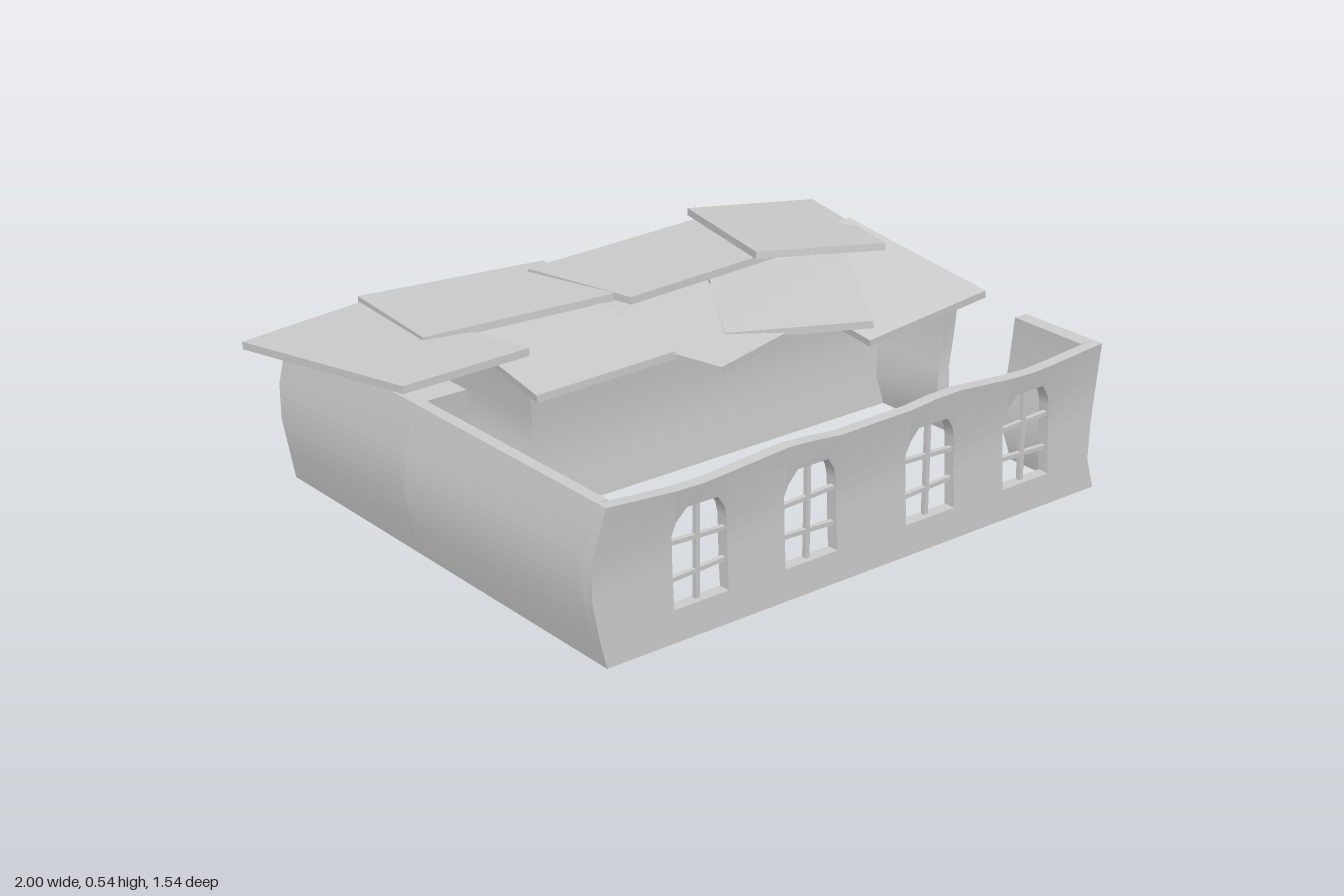
import * as THREE from 'three';
import { mergeGeometries, toCreasedNormals } from 'three/addons/utils/BufferGeometryUtils.js';

const material = new THREE.MeshStandardMaterial({ color: 0xcccccc, side: THREE.DoubleSide });

// Heights at which the warped walls change direction, and the shifts there
const LEVELS = [0, 0.09, 0.19, 0.29, 0.435];
const TOP = 0.435;
const WARP = {
  left: [0, -0.02, -0.035, -0.03, 0],
  right: [0, -0.022, -0.01, 0.005, 0],
  gap: [0, 0, 0.025, 0.02, 0],
  front: [0, -0.005, -0.012, -0.016, 0.003],
  sideEnd: [0, -0.015, -0.03, -0.03, -0.01],
  inner: [0, -0.01, -0.02, -0.015, 0],
  back: [0, 0.007, 0, -0.01, -0.003],
};

function shift(profile, y) {
  let i = 0;
  while (i < LEVELS.length - 2 && y > LEVELS[i + 1]) i++;
  return THREE.MathUtils.mapLinear(y, LEVELS[i], LEVELS[i + 1], profile[i], profile[i + 1]);
}

// Bends a wall piece to the crooked profile of the side it belongs to
function bend(geometry) {
  const p = geometry.attributes.position;
  for (let i = 0; i < p.count; i++) {
    const x = p.getX(i), y = p.getY(i), z = p.getZ(i);
    const px = x < -0.75 ? WARP.left : x > 0.75 ? WARP.right : z < 0 ? WARP.gap : null;
    const pz = z > 0.6 ? WARP.front : z > 0.1 ? WARP.sideEnd : z > -0.5 ? WARP.inner : WARP.back;
    const sag = z > 0.6 && y > 0.4 ? 0.01 * (1 - Math.cos((x + 0.87) * Math.PI * 2 / 0.58)) : 0;
    p.setXYZ(i, x + (px ? shift(px, y) : 0), y - sag, z + shift(pz, y));
  }
  return geometry;
}

// Full-height wall block with rows of vertices at LEVELS
function block(x0, x1, z0, z1) {
  const g = new THREE.BoxGeometry(x1 - x0, 4, z1 - z0, 1, 4, 1).toNonIndexed();
  g.translate((x0 + x1) / 2, 2, (z0 + z1) / 2);
  const p = g.attributes.position;
  for (let i = 0; i < p.count; i++) p.setY(i, LEVELS[Math.round(p.getY(i))]);
  return g;
}

function wall(name, pieces) {
  const mesh = new THREE.Mesh(toCreasedNormals(mergeGeometries(pieces.map(bend)), 0.6), material);
  mesh.name = name;
  return mesh;
}

function bar(name, w, h, x, y, tilt) {
  const mesh = new THREE.Mesh(new THREE.BoxGeometry(w, h, 0.014), material);
  mesh.position.set(x, y, 0.74);
  mesh.rotation.z = tilt;
  mesh.name = name;
  return mesh;
}

// Thin slab through four top corners: back left, back right, front right, front left
function roofPanel(corners) {
  const [a, b, c, d] = corners.map((v) => new THREE.Vector3(...v));
  const normal = d.clone().sub(a).cross(b.clone().sub(a)).normalize();
  const g = new THREE.BoxGeometry(1, 1, 1);
  const p = g.attributes.position;
  for (let i = 0; i < p.count; i++) {
    const u = p.getX(i) + 0.5, v = p.getZ(i) + 0.5;
    const q = a.clone().lerp(b, u).lerp(d.clone().lerp(c, u), v);
    if (p.getY(i) < 0) q.addScaledVector(normal, -0.022);
    p.setXYZ(i, q.x, q.y, q.z);
  }
  g.computeVertexNormals();
  const mesh = new THREE.Mesh(g, material);
  mesh.name = 'roofPanel';
  return mesh;
}

export function createModel() {
  const model = new THREE.Group();
  const X0 = -0.86, X1 = 0.855, Z0 = 0.732, Z1 = 0.768;
  const windows = [-0.558, -0.193, 0.228, 0.587], half = 0.088;

  // Front wall: piers, sills and clipped arches around four windows
  const pieces = [];
  const edges = [X0, ...windows.flatMap((x) => [x - half, x + half]), X1];
  for (let i = 0; i < edges.length; i += 2) pieces.push(block(edges[i], edges[i + 1], Z0, Z1));
  for (const x of windows) {
    const sill = new THREE.BoxGeometry(half * 2, 0.09, Z1 - Z0).toNonIndexed();
    pieces.push(sill.translate(x, 0.045, (Z0 + Z1) / 2));
    const arch = new THREE.Shape([
      [-half, 0.29], [-0.077, 0.325], [-0.052, 0.36], [0.052, 0.36], [0.077, 0.325], [half, 0.29],
      [half, TOP], [0, TOP], [-half, TOP],
    ].map(([u, v]) => new THREE.Vector2(u, v)));
    pieces.push(new THREE.ExtrudeGeometry(arch, { depth: Z1 - Z0, bevelEnabled: false }).translate(x, 0, Z0));
  }
  model.add(wall('frontWall', pieces));

  // Window bars, the crosspieces slightly askew
  windows.forEach((x, i) => {
    const tilt = i % 2 ? 0.04 : -0.05;
    const group = new THREE.Group();
    group.name = 'windowBars';
    group.add(
      bar('uprightBar', 0.013, 0.27, x, 0.225, 0),
      bar('upperCrossbar', half * 2, 0.012, x, 0.262, tilt),
      bar('lowerCrossbar', half * 2, 0.012, x, 0.168, -tilt),
    );
    model.add(group);
  });

  // Side walls with a breach on the right
  model.add(
    wall('leftWall', [block(X0, -0.825, -0.05, Z0)]),
    wall('rightWallStub', [block(0.81, X1, 0.49, Z0)]),
    wall('rightWall', [block(0.81, X1, -0.05, 0.22)]),
  );

  // Deep rear block, split by a gap
  model.add(
    wall('rearBlock', [block(-0.5, X1, -0.693, -0.05)]),
    wall('rearCornerBlock', [block(X0, -0.7, -0.693, -0.05)]),
  );

  // Loose overlapping roof panels
  const roof = new THREE.Group();
  roof.name = 'roof';
  const panels = [
    [[-1, 0.445, -0.7], [-0.57, 0.445, -0.76], [-0.47, 0.485, -0.085], [-0.91, 0.505, -0.03]],
    [[-0.58, 0.46, -0.77], [0.01, 0.46, -0.685], [-0.06, 0.5, -0.245], [-0.65, 0.485, -0.33]],
    [[-0.5, 0.44, -0.36], [-0.1, 0.48, -0.28], [-0.17, 0.48, 0.17], [-0.58, 0.435, 0.1]],
    [[-0.09, 0.475, -0.62], [0.58, 0.465, -0.685], [0.62, 0.5, -0.24], [-0.05, 0.505, -0.18]],
    [[0.34, 0.465, -0.325], [0.68, 0.5, -0.09], [0.4, 0.48, 0.335], [0.06, 0.455, 0.1]],
    [[-0.19, 0.44, -0.18], [0.25, 0.465, -0.28], [0.35, 0.455, 0.16], [-0.09, 0.445, 0.27]],
    [[0.6, 0.485, -0.735], [1, 0.465, -0.605], [0.79, 0.52, -0.04], [0.4, 0.543, -0.17]],
    [[0.48, 0.44, -0.35], [0.89, 0.505, -0.31], [0.85, 0.46, 0.32], [0.44, 0.395, 0.28]],
  ];
  for (const corners of panels) roof.add(roofPanel(corners));
  model.add(roof);
  return model;
}
